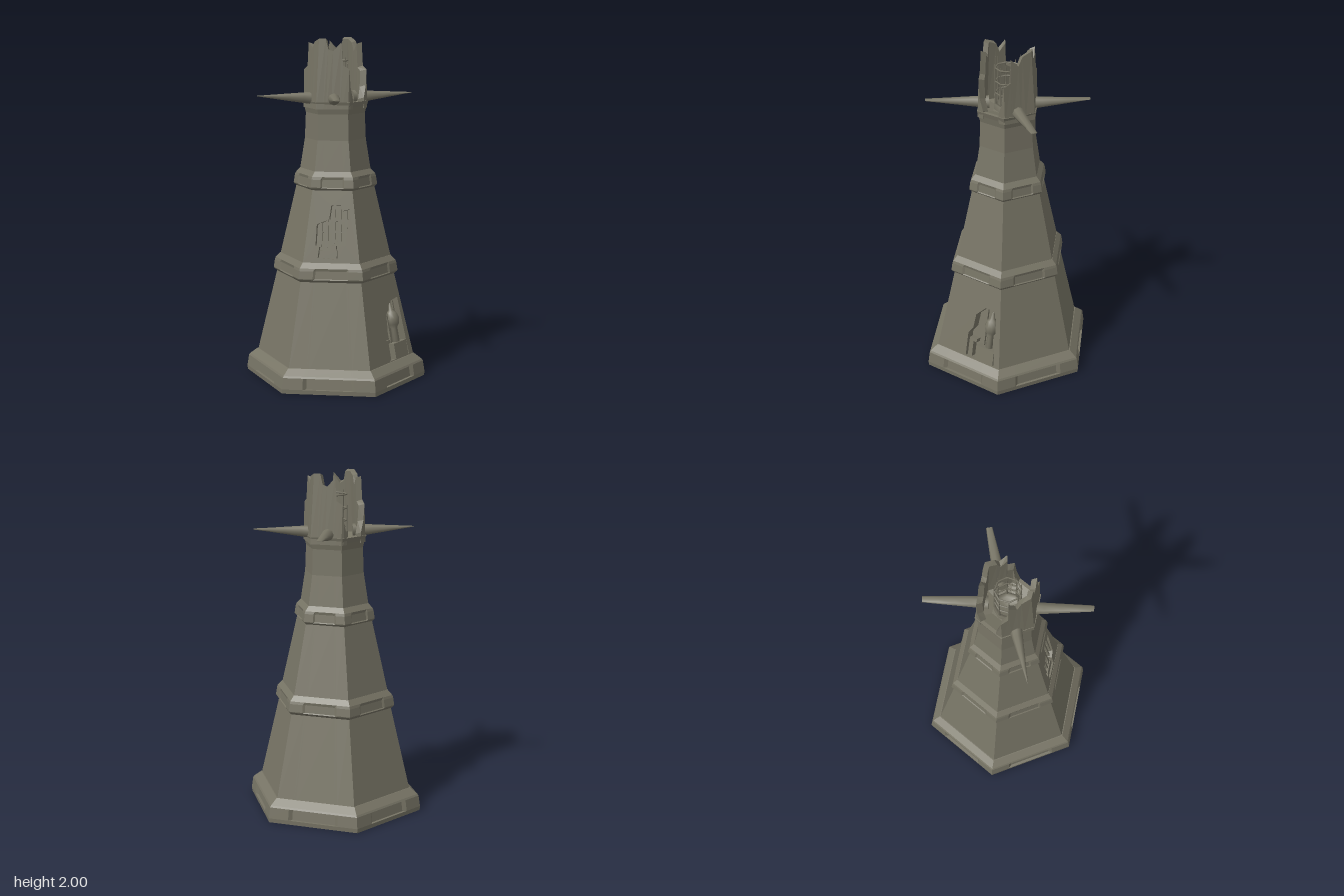
import * as THREE from 'three';

const stone = new THREE.MeshStandardMaterial({ color: 0x777465 });
stone.name = 'weathered stone';

const mesh = (name, geo, parent) => {
  const m = new THREE.Mesh(geo, stone);
  m.name = name;
  parent.add(m);
  return m;
};

// Corner k of the hexagonal plan, starting at +z and turning towards +x
const corner = (R, y, k) => {
  const a = k * Math.PI / 3;
  return new THREE.Vector3(R * Math.sin(a) * 1.04, y, R * Math.cos(a));
};

// Flat-shaded geometry from quads [a, b, c, d], counter-clockwise from outside
function fromQuads(quads) {
  const pts = quads.flatMap(([a, b, c, d]) => [a, b, c, a, c, d]);
  const g = new THREE.BufferGeometry().setFromPoints(pts);
  g.computeVertexNormals();
  return g;
}

// One side of a plan section; inset pushes back the middle of the side
function sidePoints([y, R, inset = 0], k) {
  const at = (r, t) => corner(r, y, k).lerp(corner(r, y, k + 1), t);
  return [at(R, 0), at(R, 0.22), at(R - inset, 0.25), at(R - inset, 0.75), at(R, 0.78), at(R, 1)];
}

// Stacked hexagonal sections; one side may be left open
function loft(sections, openSide = -1) {
  const quads = [];
  for (let i = 0; i < sections.length - 1; i++) {
    for (let k = 0; k < 6; k++) {
      if (k === openSide) continue;
      const lo = sidePoints(sections[i], k), hi = sidePoints(sections[i + 1], k);
      for (let j = 0; j < 5; j++) quads.push([lo[j], lo[j + 1], hi[j + 1], hi[j]]);
    }
  }
  return fromQuads(quads);
}

// A wall side with a broken hole; returns a group whose local z points outwards
function breachedWall(name, [y0, R0], [y1, R1], k, hole, parent) {
  const c = [corner(R0, y0, k), corner(R0, y0, k + 1), corner(R1, y1, k + 1), corner(R1, y1, k)];
  const origin = c[0].clone().lerp(c[1], 0.5);
  const u = c[1].clone().sub(c[0]).normalize();
  const n = u.clone().cross(c[3].clone().lerp(c[2], 0.5).sub(origin)).normalize();
  const v = n.clone().cross(u);
  const flat = c.map(p => {
    const d = p.clone().sub(origin);
    return new THREE.Vector2(d.dot(u), d.dot(v));
  });
  const g = new THREE.Group();
  g.name = name;
  g.applyMatrix4(new THREE.Matrix4().makeBasis(u, v, n).setPosition(origin));
  parent.add(g);
  const shape = new THREE.Shape(flat);
  shape.holes.push(new THREE.Path(hole.map(p => new THREE.Vector2(...p))));
  const depth = 0.05;
  const geo = new THREE.ExtrudeGeometry(shape, { depth, bevelEnabled: false });
  mesh(name + 'Face', geo.translate(0, 0, -depth), g);
  const back = new THREE.ShapeGeometry(new THREE.Shape(flat));
  mesh(name + 'Back', back.translate(0, 0, -depth), g);
  return g;
}

const box = (name, w, h, d, x, y, z, parent) =>
  mesh(name, new THREE.BoxGeometry(w, h, d).translate(x, y, z), parent);

// Jagged parapet half: points are [x, z, top height], running left to right
function parapet(points) {
  const at = (x, y, z, s) => new THREE.Vector3(x * s, y, z * s * (1 - (y - 1.62) * 0.4));
  const rows = points.map(([x, z, top]) =>
    [at(x, 1.6, z, 1), at(x, top, z, 1), at(x, top - 0.01, z, 0.8), at(x, 1.6, z, 0.78)]);
  const quads = [];
  for (let i = 0; i < rows.length - 1; i++) {
    const a = rows[i], b = rows[i + 1];
    for (let j = 0; j < 3; j++) quads.push([a[j], b[j], b[j + 1], a[j + 1]]);
  }
  quads.push(rows[0], [...rows[rows.length - 1]].reverse());
  return fromQuads(quads);
}

export function createModel() {
  const tower = new THREE.Group();
  tower.name = 'ruinedTower';

  // Plinth with recessed panels
  mesh('plinth', loft([
    [0, 0.001], [0, 0.52], [0.025, 0.522], [0.025, 0.522, 0.018], [0.09, 0.512, 0.018],
    [0.09, 0.512], [0.1, 0.505], [0.135, 0.46], [0.135, 0.44]]), tower);

  // Tapering storeys
  const low = [[0.12, 0.458], [0.63, 0.338]];
  const mid = [[0.73, 0.318], [1.15, 0.222]];
  mesh('lowerStorey', loft(low, 1), tower);
  mesh('middleStorey', loft(mid, 0), tower);
  mesh('upperStorey', loft([
    [1.2, 0.21], [1.24, 0.202], [1.42, 0.174], [1.57, 0.168], [1.61, 0.178],
    [1.64, 0.188], [1.64, 0.165], [1.62, 0.09], [1.62, 0.001]]), tower);

  // Cornices with raised corner blocks
  for (const [name, y, R] of [['lowerCornice', 0.61, 0.36], ['upperCornice', 1.125, 0.24]]) {
    mesh(name, loft([
      [y, R - 0.03], [y + 0.025, R - 0.002], [y + 0.03, R, 0.008], [y + 0.075, R - 0.007, 0.008],
      [y + 0.09, R - 0.012], [y + 0.12, R - 0.04], [y + 0.12, R - 0.08]]), tower);
  }

  // Lower breach with a plinth block and an urn inside
  const lower = breachedWall('lowerBreach', low[0], low[1], 1, [
    [-0.02, 0.02], [0.185, 0.02], [0.17, 0.22], [0.16, 0.37], [0.08, 0.36],
    [0.02, 0.3], [0.01, 0.21], [-0.02, 0.17]], tower);
  box('urnBlock', 0.13, 0.09, 0.05, 0.112, 0.065, -0.025, lower);
  box('brokenStep', 0.03, 0.1, 0.035, 0.0, 0.07, -0.032, lower);
  box('brokenSlab', 0.05, 0.02, 0.035, 0.012, 0.128, -0.032, lower);
  const urn = [[0, 0.11], [0.022, 0.11], [0.018, 0.19], [0.036, 0.215], [0.042, 0.25],
    [0.03, 0.285], [0.014, 0.3], [0.008, 0.335], [0, 0.345]];
  mesh('urn', new THREE.LatheGeometry(urn.map(p => new THREE.Vector2(...p)), 10)
    .translate(0.118, 0, -0.032), lower);
  for (const x of [0.075, 0.155]) box('nicheBar', 0.01, 0.33, 0.012, x, 0.185, -0.04, lower);

  // Upper breach with exposed lattice and rubble
  const upper = breachedWall('upperBreach', mid[0], mid[1], 0, [
    [-0.079, 0.03], [0.035, 0.02], [0.038, 0.09], [0.079, 0.1], [0.098, 0.31],
    [0.06, 0.3], [0.05, 0.335], [-0.007, 0.33], [-0.017, 0.25], [-0.088, 0.22],
    [-0.093, 0.1], [-0.07, 0.1]], tower);
  for (const [x, y, h] of [[-0.065, 0.16, 0.14], [-0.03, 0.17, 0.16], [0.01, 0.21, 0.2],
    [0.045, 0.21, 0.2], [0.08, 0.2, 0.2]]) box('latticeUpright', 0.013, h, 0.02, x, y, -0.022, upper);
  for (const [x, y, w] of [[0, 0.12, 0.165], [0, 0.18, 0.165], [0.035, 0.245, 0.11]])
    box('latticeRail', w, 0.013, 0.018, x, y, -0.03, upper);
  box('rubble', 0.1, 0.045, 0.04, -0.02, 0.05, -0.03, upper);
  box('rubble', 0.03, 0.03, 0.03, 0.01, 0.085, -0.03, upper);

  // Broken parapet, front half and back half
  const jag = parapet([
    [-0.165, 0.055, 1.66], [-0.162, 0.08, 1.73], [-0.16, 0.094, 1.82], [-0.122, 0.115, 1.84],
    [-0.115, 0.119, 1.975], [-0.075, 0.142, 1.93], [-0.05, 0.157, 1.98], [0, 0.186, 2],
    [0.035, 0.166, 2], [0.05, 0.157, 1.94], [0.075, 0.142, 1.93], [0.115, 0.119, 1.98],
    [0.128, 0.112, 1.85], [0.16, 0.094, 1.83], [0.164, 0.08, 1.72], [0.165, 0.055, 1.65]]);
  mesh('frontParapet', jag, tower);
  mesh('backParapet', jag, tower).rotation.y = Math.PI;

  // Hollow core and its broken cage
  const bowl = [[0.08, 1.6], [0.08, 1.655], [0.066, 1.655], [0.06, 1.63], [0, 1.625]];
  mesh('coreBowl', new THREE.LatheGeometry(bowl.map(p => new THREE.Vector2(...p)), 8), tower);
  for (let i = 0; i < 8; i++) {
    const a = i * Math.PI / 4, h = [0.29, 0.22, 0.26, 0.31][(i * 3) % 4];
    mesh('cageRod', new THREE.CylinderGeometry(0.002, 0.007, h, 5)
      .translate(Math.sin(a) * 0.072, 1.63 + h / 2, Math.cos(a) * 0.072), tower);
  }
  for (const y of [1.72, 1.79, 1.87]) {
    mesh('cageHoop', new THREE.TorusGeometry(0.072, 0.005, 5, 8).rotateX(Math.PI / 2)
      .translate(0, y, 0), tower);
  }

  // Four blade spikes, thinning to an edge; the front right one ends in a point
  for (const sx of [-1, 1]) for (const sz of [-1, 1]) {
    const tip = sx < 0 && sz > 0 ? 0.002 : 0.018;
    const geo = new THREE.CylinderGeometry(1, 1, 1, 8, 4).rotateX(Math.PI / 2);
    const p = geo.attributes.position;
    for (let i = 0; i < p.count; i++) {
      const t = THREE.MathUtils.clamp(p.getZ(i) + 0.5, 0, 1);
      const w = THREE.MathUtils.lerp(0.038, tip, t), h = 0.04 - 0.038 * t;
      p.setXYZ(i, p.getX(i) * w, p.getY(i) * h + 0.02 * t, t * 0.36);
    }
    geo.computeVertexNormals();
    const spike = mesh('spike', geo, tower);
    spike.position.set(sx * 0.055, 1.655, sz * 0.092);
    spike.rotation.y = Math.atan2(sx * 0.22, sz * 0.275);
  }
  return tower;
}
